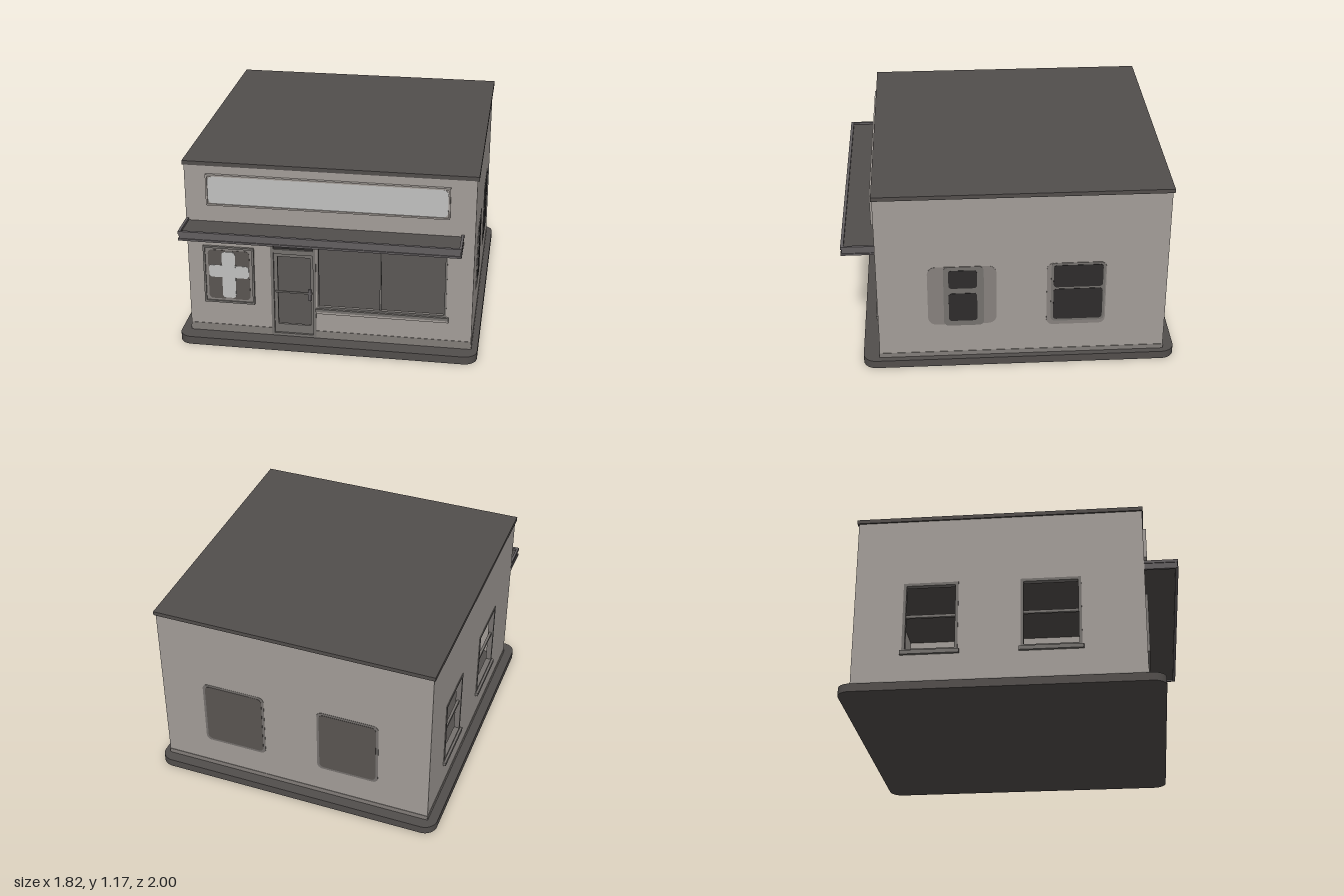
import * as THREE from 'three';

const paint = (name, color) => {
  const m = new THREE.MeshStandardMaterial({ color });
  m.name = name;
  return m;
};

// Rectangle from x0..x1, y0..y1 with optional rounded corners
function rect(x0, x1, y0, y1, r = 0, Kind = THREE.Shape) {
  const s = new Kind();
  if (!r) {
    s.moveTo(x0, y0); s.lineTo(x1, y0); s.lineTo(x1, y1); s.lineTo(x0, y1); s.closePath();
    return s;
  }
  s.absarc(x1 - r, y0 + r, r, -Math.PI / 2, 0);
  s.absarc(x1 - r, y1 - r, r, 0, Math.PI / 2);
  s.absarc(x0 + r, y1 - r, r, Math.PI / 2, Math.PI);
  s.absarc(x0 + r, y0 + r, r, Math.PI, Math.PI * 1.5);
  s.closePath();
  return s;
}

export function createModel() {
  const wall = paint('wall plaster', 0xa39d98);
  const band = paint('base band', 0x827d79);
  const surround = paint('window surround', 0x86817d);
  const trim = paint('door and frame trim', 0x75716e);
  const dark = paint('dark glass', 0x2e2c2c);
  const pane = paint('grey pane', 0x5a5552);
  const roofing = paint('roof and slab', 0x524e4c);
  const light = paint('light panel', 0xc1c1bf);
  const metal = paint('awning metal', 0x625e60);

  const model = new THREE.Group();
  model.name = 'shop';
  const T = 0.03; // wall thickness

  // Extruded sheet whose back lies at z
  function sheet(parent, name, mat, shape, z, depth) {
    const g = new THREE.ExtrudeGeometry(shape, { depth, bevelEnabled: false, curveSegments: 6 });
    g.translate(0, 0, z);
    const m = new THREE.Mesh(g, mat);
    m.name = name;
    parent.add(m);
    return m;
  }
  function box(parent, name, mat, x0, x1, y0, y1, z0, z1) {
    const m = new THREE.Mesh(new THREE.BoxGeometry(x1 - x0, y1 - y0, z1 - z0), mat);
    m.position.set((x0 + x1) / 2, (y0 + y1) / 2, (z0 + z1) / 2);
    m.name = name;
    parent.add(m);
    return m;
  }
  // Rectangular border of width w
  function frame(parent, name, mat, x0, x1, y0, y1, w, z, depth) {
    const s = rect(x0, x1, y0, y1);
    s.holes.push(rect(x0 + w, x1 - w, y0 + w, y1 - w, 0, THREE.Path));
    return sheet(parent, name, mat, s, z, depth);
  }
  // One wall in its own frame: local z points outward, outer face at z = dist
  function facade(name, turn, dist, x0, x1, holes) {
    const g = new THREE.Group();
    g.name = name;
    g.rotation.y = turn;
    model.add(g);
    const s = rect(x0, x1, 0.05, 1.15);
    holes.forEach(h => s.holes.push(rect(...h, 0, THREE.Path)));
    sheet(g, name + 'Panel', wall, s, dist - T, T);
    return g;
  }
  // Painted patch on the outside and inside of a wall; layer lifts it slightly
  function patch(g, name, mat, dist, layer, x0, x1, y0, y1, r) {
    const d = 0.002 * layer;
    sheet(g, name, mat, rect(x0, x1, y0, y1, r), dist, d);
    sheet(g, name + 'Inside', mat, rect(x0, x1, y0, y1, r), dist - T - d, d);
  }

  // Ground slab and roof
  const slab = sheet(model, 'slab', roofing, rect(-0.91, 0.91, -0.9, 1, 0.08), 0, 0.05);
  slab.rotation.x = -Math.PI / 2;
  box(model, 'roof', roofing, -0.86, 0.88, 1.145, 1.17, -0.94, 0.805);

  // Front wall with door and shop window openings
  const F = 0.8;
  const front = facade('frontWall', 0, F, -0.85, 0.87,
    [[-0.345, -0.07, 0.055, 0.74], [-0.055, 0.71, 0.26, 0.735]]);
  box(front, 'baseBand', band, -0.85, -0.345, 0.05, 0.1, F, F + 0.003);
  box(front, 'baseBand', band, -0.07, 0.87, 0.05, 0.1, F, F + 0.003);

  // Sign board
  box(front, 'signBack', wall, -0.72, 0.72, 0.9, 1.095, F, F + 0.012);
  frame(front, 'signFrame', wall, -0.72, 0.72, 0.9, 1.095, 0.01, F, 0.02);
  sheet(front, 'signPanel', light, rect(-0.708, 0.708, 0.912, 1.083, 0.03), F + 0.012, 0.003);

  // Small window with a cross
  box(front, 'crossWindowBack', surround, -0.755, -0.445, 0.255, 0.63, F, F + 0.006);
  frame(front, 'crossWindowFrame', trim, -0.755, -0.445, 0.255, 0.63, 0.012, F, 0.015);
  for (const [x0, x1] of [[-0.727, -0.61], [-0.59, -0.473]])
    for (const [y0, y1] of [[0.28, 0.44], [0.485, 0.605]])
      sheet(front, 'crossWindowPane', pane, rect(x0, x1, y0, y1, 0.025), F + 0.006, 0.002);
  sheet(front, 'crossUpright', light, rect(-0.642, -0.56, 0.29, 0.595, 0.02), F + 0.006, 0.005);
  sheet(front, 'crossArm', light, rect(-0.722, -0.478, 0.425, 0.505, 0.02), F + 0.006, 0.004);

  // Door
  const door = new THREE.Group();
  door.name = 'door';
  front.add(door);
  frame(door, 'doorFrame', trim, -0.345, -0.07, 0.05, 0.74, 0.018, F - T, T + 0.003);
  box(door, 'transomRail', trim, -0.327, -0.088, 0.6, 0.63, F - T, F - 0.002);
  box(door, 'transomGlass', dark, -0.327, -0.088, 0.63, 0.722, F - 0.022, F - 0.015);
  const leaf = rect(-0.327, -0.088, 0.06, 0.605);
  leaf.holes.push(rect(-0.305, -0.105, 0.125, 0.58, 0, THREE.Path));
  sheet(door, 'doorLeaf', trim, leaf, F - 0.026, 0.016);
  box(door, 'pushBar', trim, -0.32, -0.095, 0.342, 0.352, F - 0.012, F - 0.002);
  box(door, 'handle', metal, -0.118, -0.1, 0.3, 0.375, F - 0.012, F + 0.002);

  // Shop window
  frame(front, 'shopWindowFrame', trim, -0.065, 0.715, 0.255, 0.74, 0.012, F - 0.02, 0.024);
  box(front, 'shopWindowMullion', trim, 0.315, 0.325, 0.26, 0.735, F - 0.018, F - 0.004);
  box(front, 'shopWindowSill', wall, -0.07, 0.73, 0.222, 0.238, F, F + 0.012);
  box(front, 'shopWindowSillCap', trim, -0.07, 0.73, 0.238, 0.256, F - 0.02, F + 0.018);

  // Awning: shallow tray with raised rim and lower lip
  const awning = new THREE.Group();
  awning.name = 'awning';
  front.add(awning);
  box(awning, 'awningTray', roofing, -0.84, 0.79, 0.755, 0.788, F, 0.99);
  for (const [y0, y1] of [[0.785, 0.803], [0.745, 0.757]]) {
    box(awning, 'awningFrontRim', metal, -0.85, 0.805, y0, y1, 0.982, 1);
    box(awning, 'awningEndRim', metal, -0.85, -0.835, y0, y1, F, 0.982);
    box(awning, 'awningEndRim', metal, 0.79, 0.805, y0, y1, F, 0.982);
  }
  box(awning, 'awningFascia', metal, -0.845, 0.8, 0.755, 0.787, F, 0.994);

  box(awning, 'awningDeck', roofing, -0.834, 0.789, 0.787, 0.79, F, 0.982);

  // Right wall with painted windows (local x runs towards the back)
  const R = 0.87;
  const right = facade('rightWall', Math.PI / 2, R, -F + T, 0.93 - T, []);
  box(right, 'baseBand', band, -F, 0.93, 0.05, 0.08, R, R + 0.003);
  patch(right, 'windowHalo', surround, R, 1, -0.5, -0.09, 0.28, 0.685, 0.05);
  patch(right, 'windowBorder', trim, R, 2, -0.405, -0.165, 0.27, 0.685, 0.03);
  patch(right, 'windowHalo', surround, R, 1, 0.21, 0.565, 0.255, 0.69, 0.04);
  patch(right, 'windowBorder', trim, R, 2, 0.235, 0.558, 0.28, 0.69, 0.03);
  for (const [x0, x1, y0, y1] of [[-0.375, -0.205, 0.305, 0.5], [-0.375, -0.205, 0.535, 0.66],
    [0.25, 0.545, 0.295, 0.51], [0.25, 0.545, 0.522, 0.675]])
    patch(right, 'windowPane', dark, R, 3, x0, x1, y0, y1, 0.02);

  // Back wall with painted windows (local x is mirrored)
  const B = 0.93;
  const back = facade('backWall', Math.PI, B, -0.87, 0.85, []);
  box(back, 'baseBand', band, -0.87, 0.85, 0.05, 0.08, B, B + 0.003);
  for (const [x0, x1] of [[-0.6, -0.2], [0.14, 0.53]]) {
    patch(back, 'windowBorder', trim, B, 1, x0, x1, 0.25, 0.695, 0.035);
    patch(back, 'windowPane', pane, B, 2, x0 + 0.015, x1 - 0.015, 0.265, 0.68, 0.03);
  }

  // Left wall with two open framed windows (local x runs towards the front)
  const L = 0.85;
  const windows = [[-0.63, -0.31], [0.07, 0.42]];
  const left = facade('leftWall', -Math.PI / 2, L, -0.93 + T, F - T,
    windows.map(([x0, x1]) => [x0, x1, 0.27, 0.71]));
  box(left, 'baseBand', band, -0.93, F, 0.05, 0.08, L, L + 0.003);
  for (const [x0, x1] of windows) {
    frame(left, 'windowFrame', trim, x0 - 0.005, x1 + 0.005, 0.265, 0.715, 0.018, L - T, T + 0.004);
    box(left, 'windowRail', trim, x0, x1, 0.49, 0.508, L - 0.022, L - 0.006);
    box(left, 'windowSill', trim, x0 - 0.015, x1 + 0.015, 0.245, 0.27, L - 0.02, L + 0.018);
  }
  return model;
}
